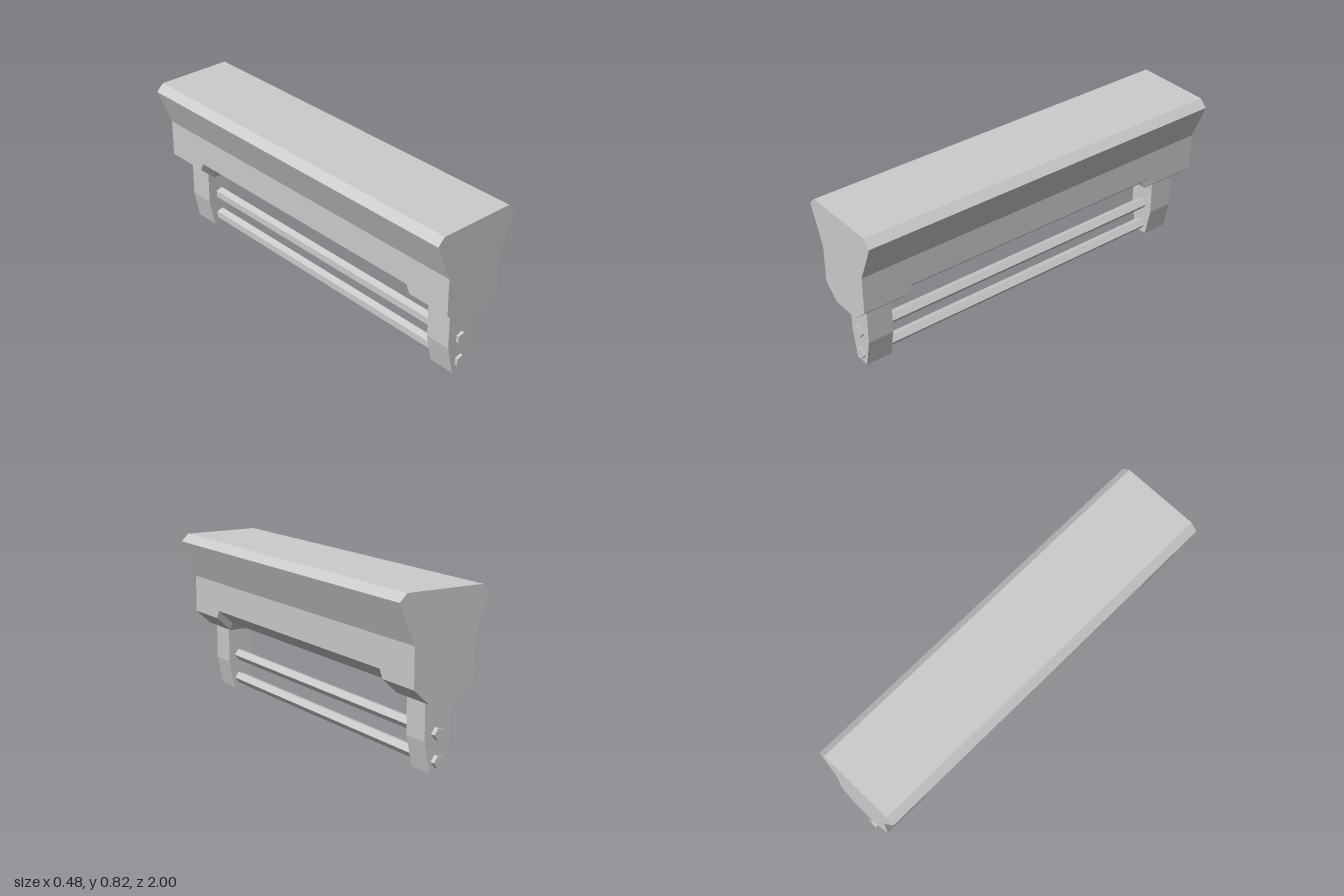
import * as THREE from 'three';

const material = new THREE.MeshStandardMaterial({ color: 0xcccccc, flatShading: true });

// Mirrors the right half of a profile (listed bottom to top) into a closed counter-clockwise outline.
function mirrored(half) {
  const left = half.slice().reverse().map(([x, y]) => [-x, y]);
  return [...half, ...left].map(([x, y]) => new THREE.Vector2(x, y));
}

// Body outline; lift raises the underside.
const bodyProfile = (lift) => mirrored([
  [0.079, 0.327 + lift], [0.158, 0.4 + lift], [0.158, 0.592], [0.238, 0.785], [0.2, 0.823],
]);

// Joins outlines placed along z (back to front) and caps both ends.
function loft(sections) {
  const pos = [];
  const put = (s, i) => pos.push(s.points[i].x, s.points[i].y, s.z);
  const n = sections[0].points.length;
  for (let k = 0; k < sections.length - 1; k++) {
    const p = sections[k], q = sections[k + 1];
    for (let i = 0; i < n; i++) {
      const j = (i + 1) % n;
      put(p, i); put(p, j); put(q, j);
      put(p, i); put(q, j); put(q, i);
    }
  }
  const back = sections[0], front = sections[sections.length - 1];
  for (const [a, b, c] of THREE.ShapeUtils.triangulateShape(front.points, [])) {
    put(front, a); put(front, b); put(front, c);
    put(back, c); put(back, b); put(back, a);
  }
  const geometry = new THREE.BufferGeometry();
  geometry.setAttribute('position', new THREE.Float32BufferAttribute(pos, 3));
  geometry.computeVertexNormals();
  return geometry;
}

export function createModel() {
  const model = new THREE.Group();
  model.name = 'beamOnPosts';
  const add = (name, geometry) => {
    const mesh = new THREE.Mesh(geometry, material);
    mesh.name = name;
    model.add(mesh);
    return mesh;
  };

  // Long beam, its underside stepped up between the two ends
  const stations = [[-1, 0], [-0.764, 0], [-0.743, 0.042], [0.743, 0.042], [0.764, 0], [1, 0]];
  add('beam', loft(stations.map(([z, lift]) => ({ z, points: bodyProfile(lift) }))));

  // Tapered posts under each end
  const post = mirrored([[0.038, 0], [0.069, 0.148], [0.069, 0.327]]);
  for (const [name, z0, z1] of [['frontPost', 0.8, 0.935], ['backPost', -0.96, -0.825]]) {
    add(name, loft([{ z: z0, points: post }, { z: z1, points: post }]));
  }

  // Five-sided rods passing through both posts
  for (const [name, y] of [['upperRod', 0.18], ['lowerRod', 0.054]]) {
    const rod = new THREE.CylinderGeometry(0.0304, 0.0304, 1.935, 5);
    rod.rotateY(Math.PI / 2).rotateX(Math.PI / 2);
    add(name, rod).position.set(0.005, y, -0.0175);
  }

  return model;
}
